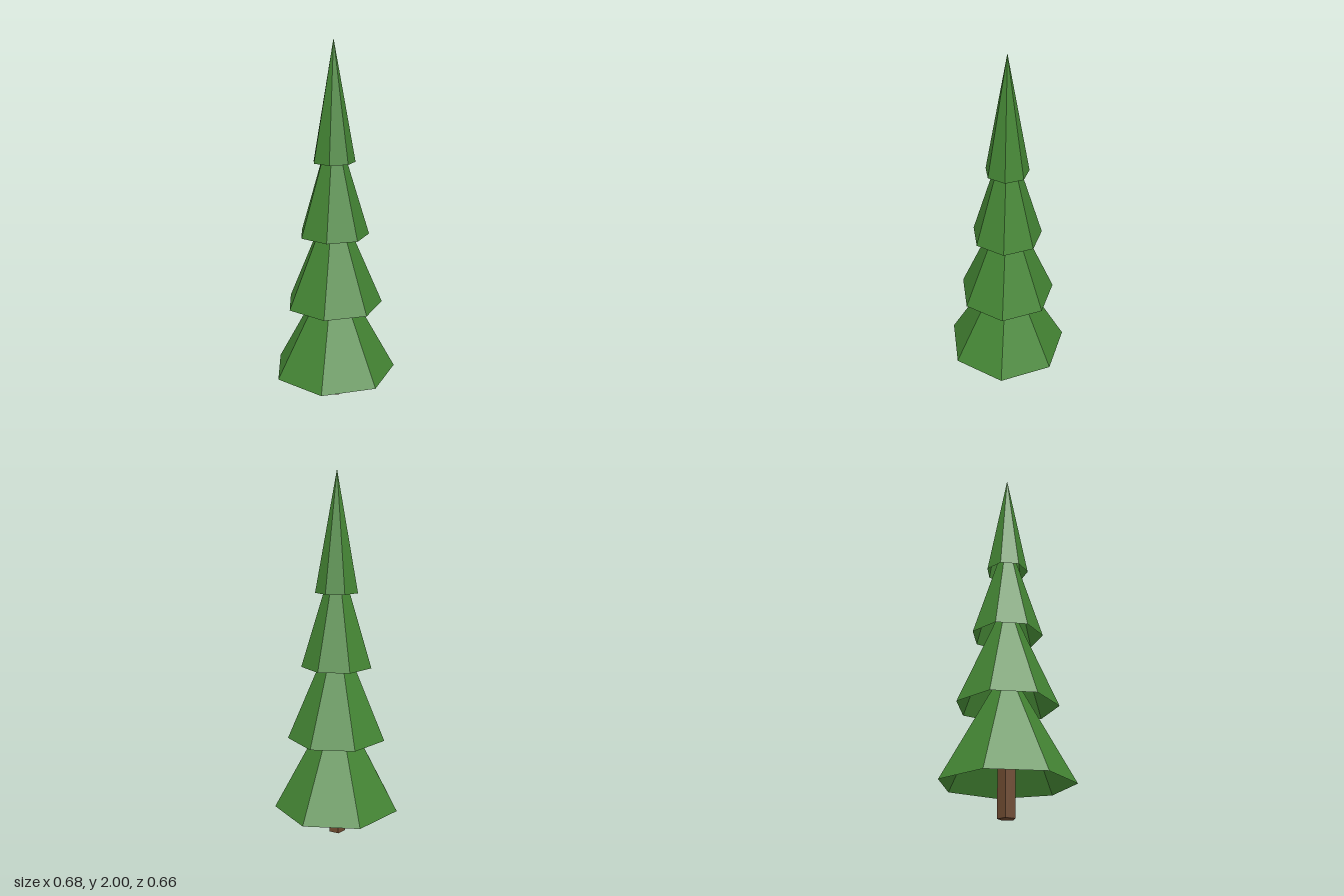
import * as THREE from 'three';

const foliage = new THREE.MeshStandardMaterial({ color: 0x448534, flatShading: true, side: THREE.DoubleSide });
foliage.name = 'foliageGreen';
const bark = new THREE.MeshStandardMaterial({ color: 0x6e4a30, flatShading: true });
bark.name = 'barkBrown';

export function createModel() {
  const tree = new THREE.Group();
  tree.name = 'pineTree';
  const axisZ = -0.017; // odd-sided tiers, so the axis sits slightly behind the centre

  // Five-sided trunk, ending inside the lowest tier
  const trunkHeight = 0.26;
  const trunk = new THREE.Mesh(new THREE.CylinderGeometry(0.047, 0.047, trunkHeight, 5), bark);
  trunk.name = 'trunk';
  trunk.position.set(0, trunkHeight / 2, axisZ);
  tree.add(trunk);

  // Four hollow seven-sided cones, open below, each narrower than the last
  const tierHeight = 0.635;
  for (let i = 0; i < 4; i++) {
    const radius = 0.349 - i * 0.0773;
    const tier = new THREE.Mesh(new THREE.ConeGeometry(radius, tierHeight, 7, 1, true), foliage);
    tier.name = `foliageTier${i + 1}`;
    tier.position.set(0, 0.165 + i * 0.4 + tierHeight / 2, axisZ);
    tree.add(tier);
  }
  return tree;
}
